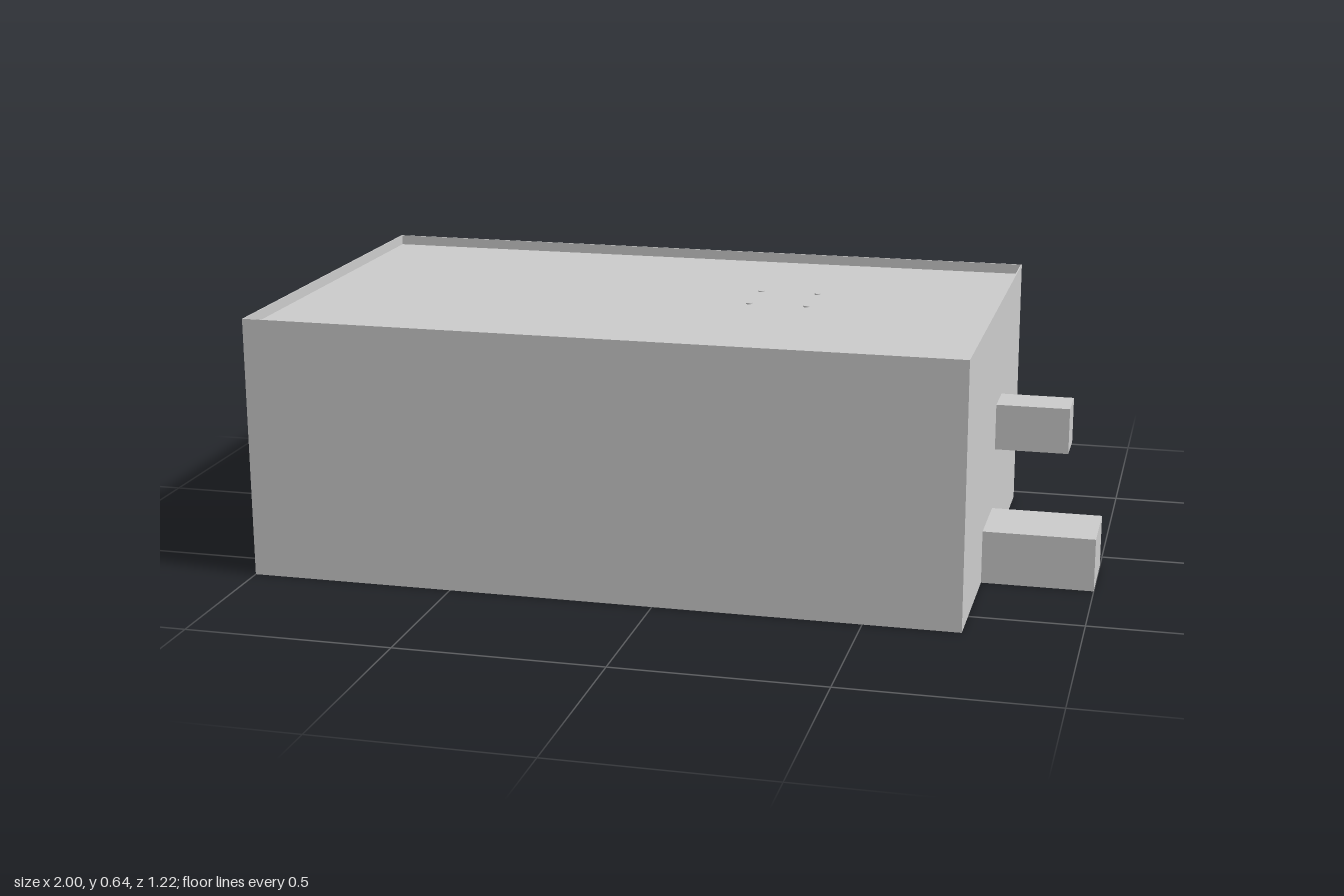
import * as THREE from 'three';

const grey = new THREE.MeshStandardMaterial({ color: 0xcccccc });
const pale = new THREE.MeshStandardMaterial({ color: 0xeeeeee });
const ochre = new THREE.MeshStandardMaterial({ color: 0x8a7420 });

// Box given by its extents on each axis
function block(name, [x0, x1], [y0, y1], [z0, z1], material = grey) {
  const mesh = new THREE.Mesh(new THREE.BoxGeometry(x1 - x0, y1 - y0, z1 - z0), material);
  mesh.position.set((x0 + x1) / 2, (y0 + y1) / 2, (z0 + z1) / 2);
  mesh.name = name;
  return mesh;
}

export function createModel() {
  const model = new THREE.Group();
  model.name = 'housing';
  const X = [-1, 0.73], Y = [0, 0.64], Z = [-0.45, 0.61], t = 0.003;
  const floorY = 0.018, roofY = 0.615;

  // Thin walls, standing slightly proud of the roof and floor panels
  model.add(
    block('frontWall', X, Y, [Z[1] - t, Z[1]]),
    block('backWall', X, Y, [Z[0], Z[0] + t]),
    block('leftWall', [X[1] - t, X[1]], Y, [Z[0] + t, Z[1] - t]),
    block('rightWall', [X[0], X[0] + t], Y, [Z[0] + t, Z[1] - t])
  );
  const innerX = [X[0] + t, X[1] - t], innerZ = [Z[0] + t, Z[1] - t];
  model.add(
    block('roofPanel', innerX, [roofY - 0.01, roofY], innerZ),
    block('floorPanel', innerX, [floorY, floorY + 0.01], innerZ)
  );

  // Box-shaped outlets on the side and back
  model.add(
    block('upperSideOutlet', [0.73, 0.91], [0.276, 0.39], [-0.06, 0.05]),
    block('lowerSideOutlet', [0.73, 1], [0, 0.13], [0.07, 0.26]),
    block('backOutlet', [0.28, 0.55], [0.328, 0.455], [-0.61, -0.45])
  );

  // Four small pins in the roof
  for (const x of [0.11, 0.255]) {
    for (const z of [-0.08, 0.065]) {
      const pin = new THREE.Mesh(new THREE.CylinderGeometry(0.008, 0.008, 0.012, 12), pale);
      pin.position.set(x, roofY - 0.003, z);
      pin.name = 'roofPin';
      model.add(pin);
    }
  }

  // Square frame and panel under the floor
  const hatch = new THREE.Group();
  hatch.name = 'floorHatch';
  const s = 0.07, w = 0.008, h = [0.008, floorY];
  hatch.add(block('hatchPanel', [-s, s], [floorY - 0.003, floorY], [-s, s]));
  for (const side of [-1, 1]) {
    const band = side < 0 ? [-s, -s + w] : [s - w, s];
    hatch.add(block('hatchRim', band, h, [-s, s]), block('hatchRim', [-s + w, s - w], h, band));
  }
  hatch.position.set(0.185, 0, -0.01);
  model.add(hatch);

  // Small coloured strip under the floor
  model.add(block('floorStrip', [-0.19, -0.04], [0.01, floorY], [0.04, 0.07], ochre));
  return model;
}
